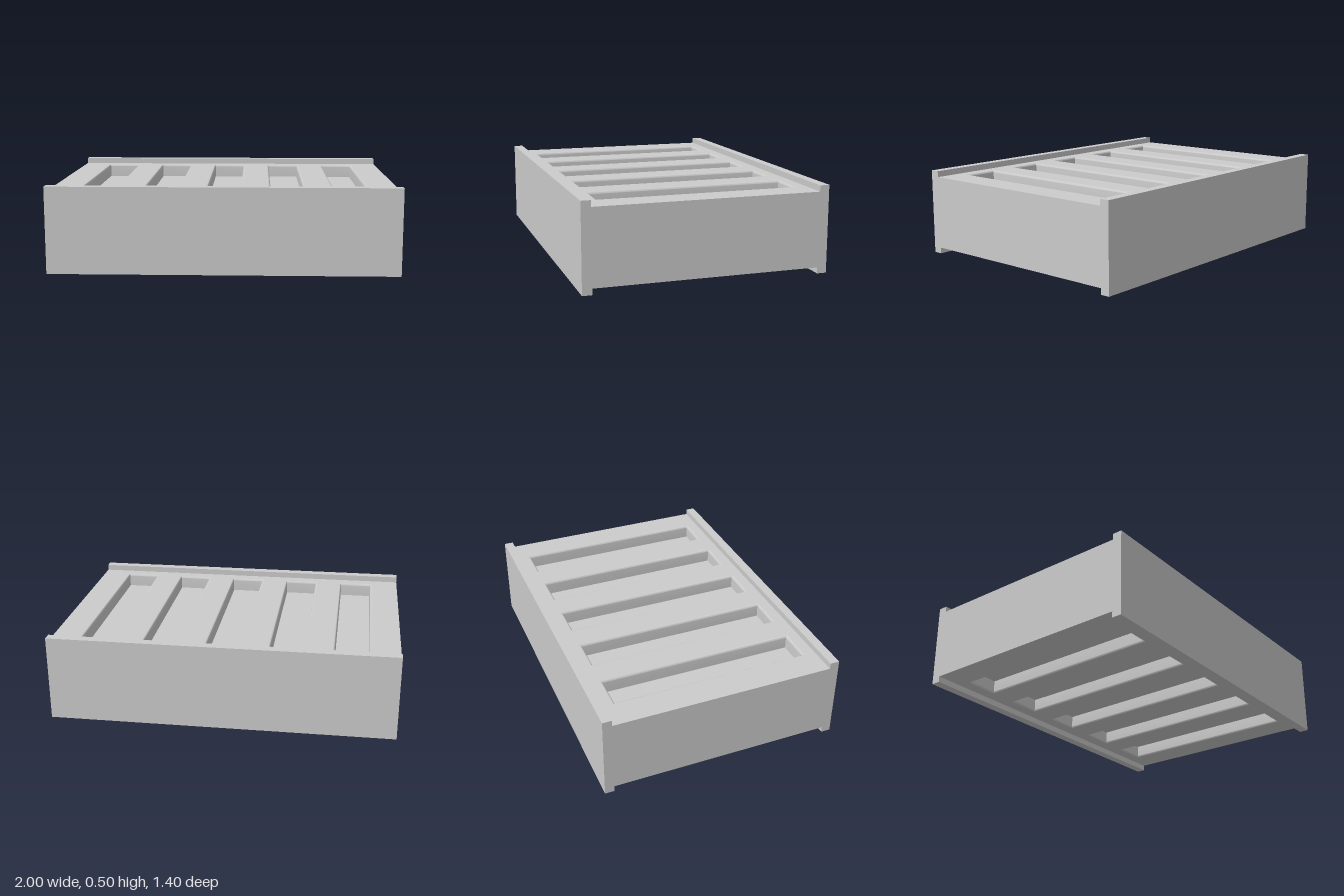
import * as THREE from 'three';
import { toCreasedNormals } from 'three/addons/utils/BufferGeometryUtils.js';

const HALF_X = 1, HALF_Z = 0.7, RAIL_Z = 0.645;   // plan and inner rail face
const TOP = 0.5, DECK = 0.465;                    // rail top and recessed panel
const SLOT_W = 0.192, SLOT_L = 1.14, SLOT_STEP = 0.364;
const DEPTH = 0.08, LIP = 0.012;                  // pocket depth and rounded lip

const material = new THREE.MeshStandardMaterial({ color: 0xcccccc });

function quadGeometry(quads) {
  const positions = [];
  for (const [a, b, c, d] of quads) {
    for (const p of [a, b, c, a, c, d]) positions.push(...p);
  }
  const geometry = new THREE.BufferGeometry();
  geometry.setAttribute('position', new THREE.Float32BufferAttribute(positions, 3));
  geometry.computeVertexNormals();
  return geometry;
}

function part(name, geometry) {
  const mesh = new THREE.Mesh(geometry, material);
  mesh.name = name;
  return mesh;
}

// Rectangle corners around the origin, running counter-clockwise
function rect(hx, hy) {
  return [[-hx, -hy], [hx, -hy], [hx, hy], [-hx, hy]].map(([x, y]) => new THREE.Vector2(x, y));
}

// Blind pocket: rounded lip, straight walls and a flat floor
function pocketGeometry() {
  const levels = [];
  for (let i = 0; i <= 6; i++) {
    const t = (i / 6) * Math.PI / 2;
    levels.push([LIP * (1 - Math.sin(t)), -LIP * (1 - Math.cos(t))]);
  }
  levels.push([0, -DEPTH]);
  const rings = levels.map(([out, y]) =>
    rect(SLOT_W / 2 + out, SLOT_L / 2 + out).map((p) => [p.x, y, -p.y]));
  const quads = [];
  for (let i = 0; i < rings.length - 1; i++) {
    for (let k = 0; k < 4; k++) {
      const n = (k + 1) % 4;
      quads.push([rings[i][k], rings[i + 1][k], rings[i + 1][n], rings[i][n]].reverse());
    }
  }
  quads.push(rings[rings.length - 1]);
  return toCreasedNormals(quadGeometry(quads), 0.6);
}

// Recessed panel with five pockets, facing up
function slottedPanel(name) {
  const group = new THREE.Group();
  group.name = name;
  const shape = new THREE.Shape(rect(HALF_X, RAIL_Z));
  const pocket = pocketGeometry();
  for (let i = -2; i <= 2; i++) {
    const x = i * SLOT_STEP;
    const hole = rect(SLOT_W / 2 + LIP, SLOT_L / 2 + LIP).reverse();
    hole.forEach((p) => { p.x += x; });
    shape.holes.push(new THREE.Path(hole));
    const mesh = part('slotPocket', pocket);
    mesh.position.x = x;
    group.add(mesh);
  }
  group.add(part('panelFace', new THREE.ShapeGeometry(shape).rotateX(-Math.PI / 2)));
  return group;
}

export function createModel() {
  const model = new THREE.Group();
  model.name = 'slottedBlock';

  // H-shaped side profile as [z, y]
  const profile = [
    [HALF_Z, 0], [HALF_Z, TOP], [RAIL_Z, TOP], [RAIL_Z, DECK],
    [-RAIL_Z, DECK], [-RAIL_Z, TOP], [-HALF_Z, TOP], [-HALF_Z, 0],
    [-RAIL_Z, 0], [-RAIL_Z, TOP - DECK], [RAIL_Z, TOP - DECK], [RAIL_Z, 0],
  ];

  // Front, back and rail faces; the two panel spans stay open
  const walls = [];
  profile.forEach(([z, y], i) => {
    if (i === 3 || i === 9) return;
    const [z2, y2] = profile[(i + 1) % profile.length];
    walls.push([[-HALF_X, y, z], [HALF_X, y, z], [HALF_X, y2, z2], [-HALF_X, y2, z2]]);
  });
  model.add(part('railsAndWalls', quadGeometry(walls)));

  // End faces
  const endShape = new THREE.Shape(profile.map(([z, y]) => new THREE.Vector2(z, y)));
  for (const side of [-1, 1]) {
    const end = part(side > 0 ? 'leftEnd' : 'rightEnd', new THREE.ShapeGeometry(endShape));
    end.rotation.y = side * Math.PI / 2;
    end.position.x = side * HALF_X;
    model.add(end);
  }

  // Top panel and its mirrored underside
  const top = slottedPanel('topPanel');
  top.position.y = DECK;
  const bottom = slottedPanel('bottomPanel');
  bottom.rotation.z = Math.PI;
  bottom.position.y = TOP - DECK;
  model.add(top, bottom);

  return model;
}
